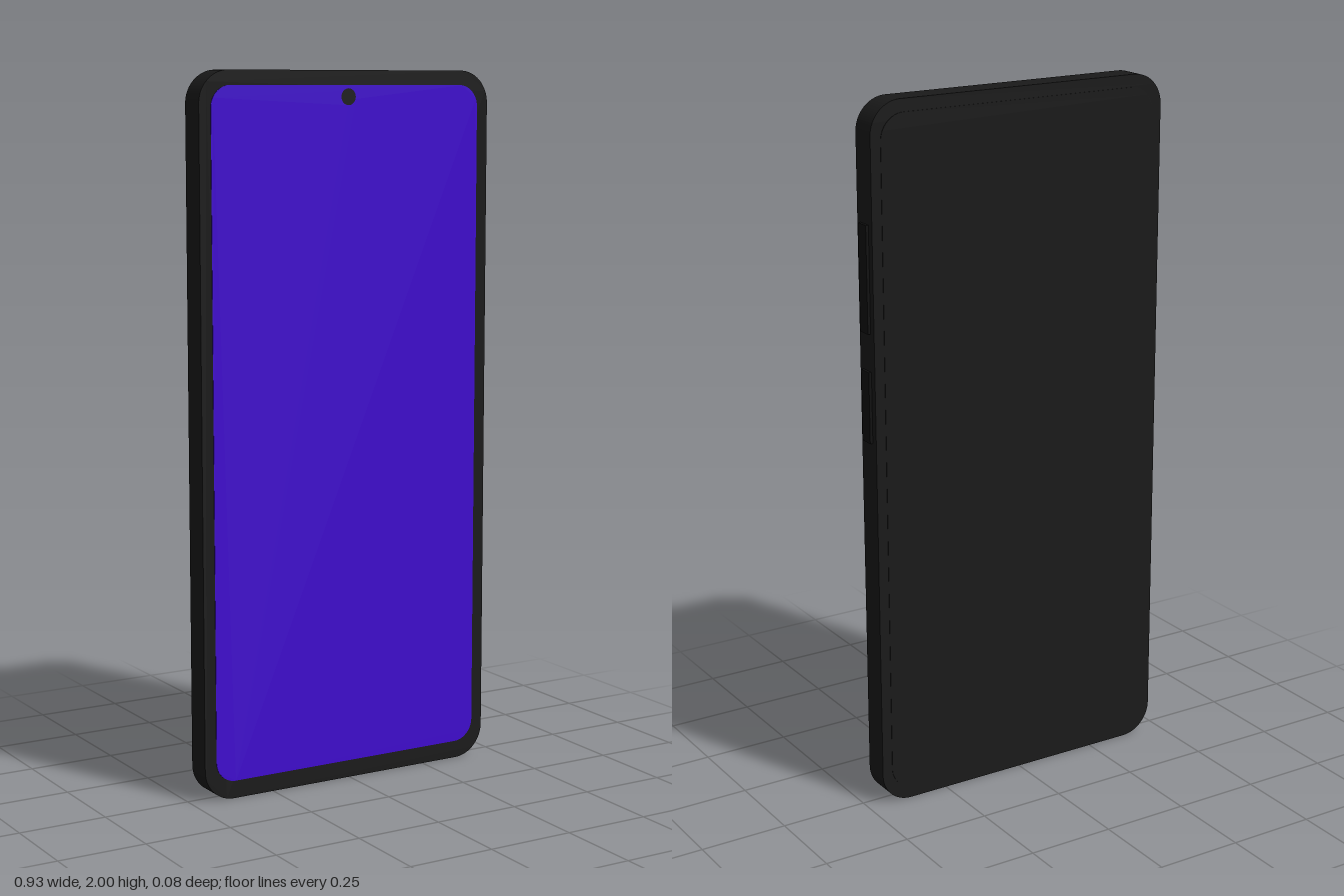
import * as THREE from 'three';

const CX = -0.004; // the body sits slightly off centre because of the side buttons

// Rounded rectangle outline centred on (cx, cy)
function roundedRect(w, h, r, cx, cy) {
  const s = new THREE.Shape();
  const x = w / 2 - r, y = h / 2 - r;
  s.absarc(cx + x, cy + y, r, 0, Math.PI / 2);
  s.absarc(cx - x, cy + y, r, Math.PI / 2, Math.PI);
  s.absarc(cx - x, cy - y, r, Math.PI, Math.PI * 1.5);
  s.absarc(cx + x, cy - y, r, Math.PI * 1.5, Math.PI * 2);
  s.closePath();
  return s;
}

// Flat slab of a shape between two depths
function slab(name, shape, z0, z1, material) {
  const geo = new THREE.ExtrudeGeometry(shape, { depth: z1 - z0, bevelEnabled: false, curveSegments: 12 });
  geo.translate(0, 0, z0);
  const mesh = new THREE.Mesh(geo, material);
  mesh.name = name;
  return mesh;
}

export function createModel() {
  const phone = new THREE.Group();
  phone.name = 'phone';
  const black = new THREE.MeshStandardMaterial({ color: 0x1a1a1a });
  const dark = new THREE.MeshStandardMaterial({ color: 0x111111 });
  const violet = new THREE.MeshStandardMaterial({ color: 0x400ad0 });

  // Case
  phone.add(slab('body', roundedRect(0.92, 2, 0.09, CX, 1), -0.04, 0.038, black));

  // Slightly raised back panel
  phone.add(slab('backPanel', roundedRect(0.86, 1.93, 0.07, CX, 1), -0.0415, -0.039, black));

  // Display with a round opening for the front camera
  const screen = roundedRect(0.85, 1.91, 0.06, CX, 1.005);
  const opening = new THREE.Path();
  opening.absarc(CX, 1.928, 0.023, 0, Math.PI * 2, true);
  screen.holes.push(opening);
  phone.add(slab('screen', screen, 0.036, 0.0395, violet));

  // Front camera lens
  const lens = new THREE.Mesh(new THREE.CylinderGeometry(0.023, 0.023, 0.004, 24), black);
  lens.name = 'frontCamera';
  lens.rotation.x = Math.PI / 2;
  lens.position.set(CX, 1.928, 0.0375);
  phone.add(lens);

  // Volume and power keys on the +x edge
  for (const [name, low, high] of [['volumeButton', 1.38, 1.675], ['powerButton', 1.075, 1.275]]) {
    const key = new THREE.Mesh(new THREE.BoxGeometry(0.03, high - low, 0.042), dark);
    key.name = name;
    key.position.set(0.449, (low + high) / 2, 0);
    phone.add(key);
  }

  return phone;
}
